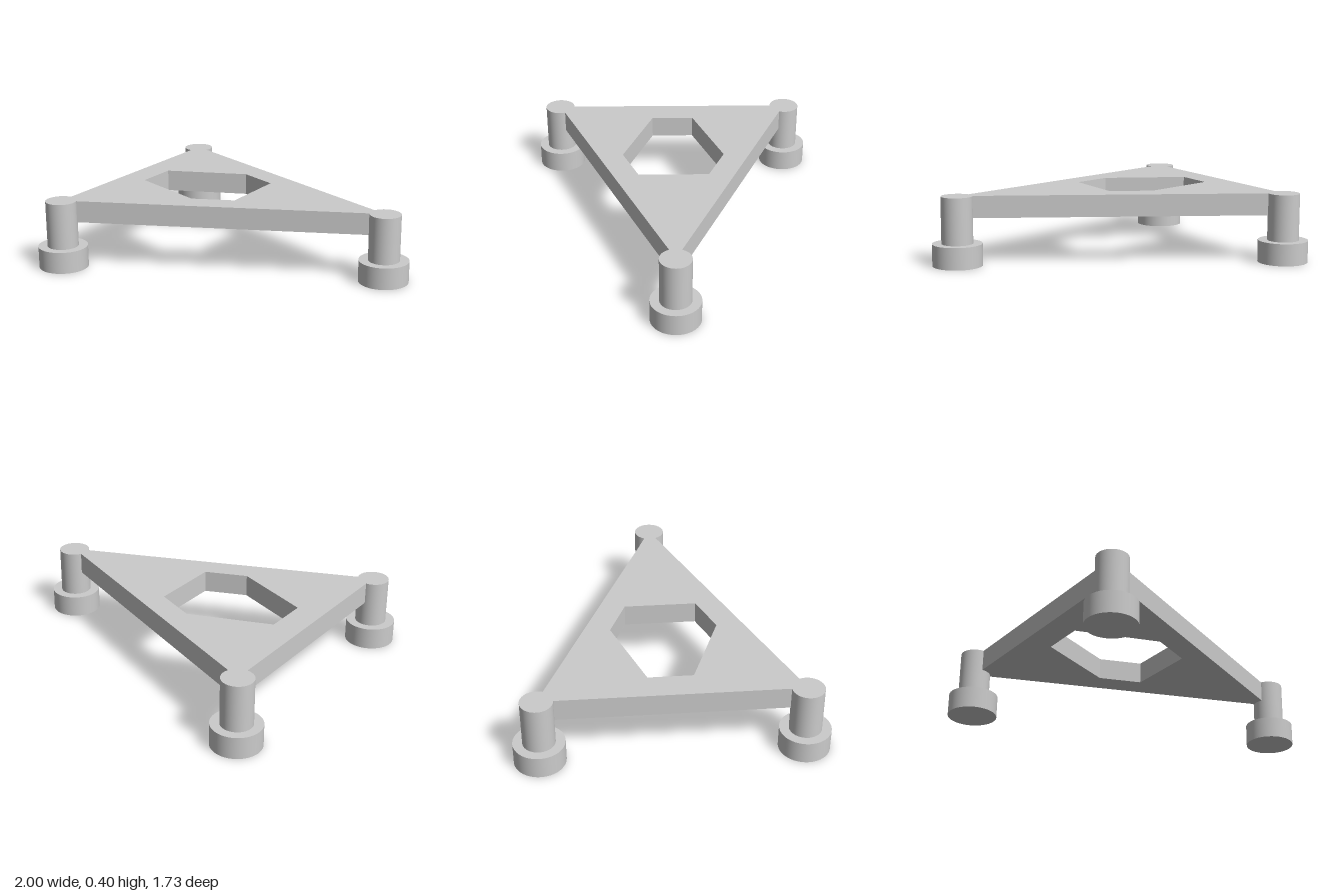
import * as THREE from 'three';

const material = new THREE.MeshStandardMaterial({ color: 0xcccccc });

const FOOT_H = 0.127, FOOT_R = 0.143;
const LEG_R = 0.09, TOP = 0.397, PLATE_T = 0.127;
// corner positions as [x, z]
const CORNERS = [[-0.857, -0.722], [0.857, 0], [-0.857, 0.722]];
const HOLE = [[-0.695, -0.126], [-0.695, 0.126], [-0.233, 0.304], [0, 0.207], [0, -0.207], [-0.233, -0.304]];

const toPoints = (list) => list.map(([x, y]) => new THREE.Vector2(x, y));

function addMesh(parent, name, geometry, y) {
  const mesh = new THREE.Mesh(geometry, material);
  mesh.name = name;
  mesh.position.y = y;
  parent.add(mesh);
}

export function createModel() {
  const group = new THREE.Group();
  group.name = 'triangularStand';

  // triangular plate with a six-sided opening
  const shape = new THREE.Shape(toPoints(CORNERS));
  shape.holes.push(new THREE.Path(toPoints(HOLE)));
  const plate = new THREE.ExtrudeGeometry(shape, { depth: PLATE_T, bevelEnabled: false });
  plate.rotateX(-Math.PI / 2);
  addMesh(group, 'plate', plate, TOP - PLATE_T);

  // a round leg on a wider foot at each corner
  const column = new THREE.CylinderGeometry(LEG_R, LEG_R, TOP - FOOT_H, 64);
  const foot = new THREE.CylinderGeometry(FOOT_R, FOOT_R, FOOT_H, 64);
  for (const [x, z] of CORNERS) {
    const leg = new THREE.Group();
    leg.name = 'leg';
    leg.position.set(x, 0, z);
    addMesh(leg, 'column', column, (TOP + FOOT_H) / 2);
    addMesh(leg, 'foot', foot, FOOT_H / 2);
    group.add(leg);
  }
  return group;
}
